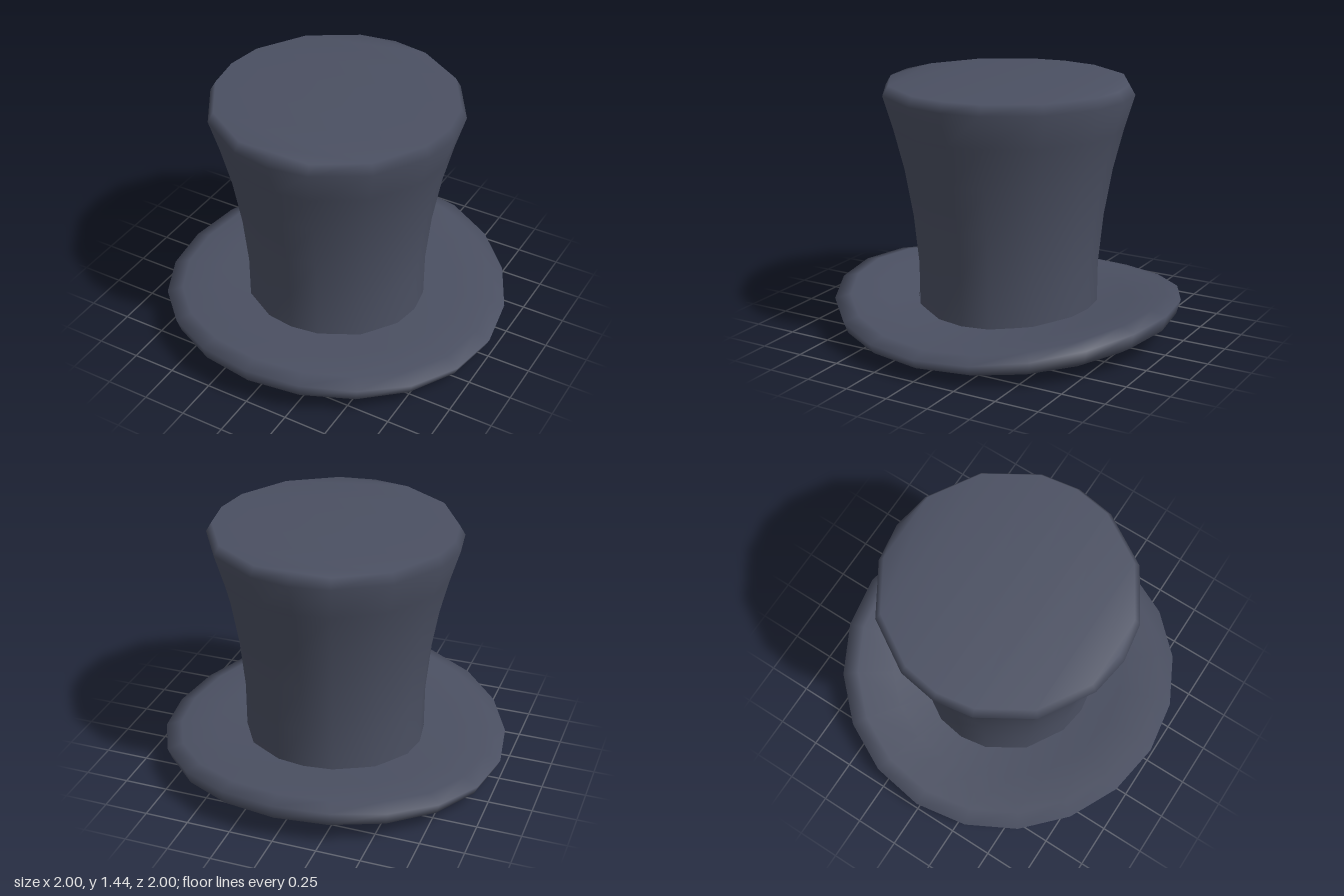
import * as THREE from 'three';

const felt = new THREE.MeshStandardMaterial({ color: 0x4b5062 });
felt.name = 'slate felt';

// Lofts rings [radius, height, saddle]; saddle lifts the z sides and drops the x sides.
// The order of rings runs so that the outside is on the right-hand side of the profile.
function loft(rings, degrees, capLast) {
  const n = degrees.length;
  const positions = [];
  const index = [];
  for (const [r, y, saddle = 0] of rings) {
    for (const d of degrees) {
      const a = THREE.MathUtils.degToRad(d);
      positions.push(r * Math.sin(a), y + saddle * Math.cos(2 * a), r * Math.cos(a));
    }
  }
  for (let k = 0; k < rings.length - 1; k++) {
    for (let i = 0; i < n; i++) {
      const j = (i + 1) % n;
      const a = k * n + i, b = k * n + j, c = a + n, d = b + n;
      index.push(a, b, d, a, d, c);
    }
  }
  // Flat end closed with strips across the ring
  if (capLast) {
    const o = (rings.length - 1) * n;
    for (let i = 0; i < n / 2; i++) {
      const a = o + i, b = o + i + 1, c = o + ((n - i) % n), d = o + n - i - 1;
      if (i > 0) index.push(a, b, c);
      if (b !== d) index.push(b, d, c);
    }
  }
  const geometry = new THREE.BufferGeometry();
  geometry.setAttribute('position', new THREE.Float32BufferAttribute(positions, 3));
  geometry.setIndex(index);
  geometry.computeVertexNormals();
  return geometry;
}

export function createModel() {
  const hat = new THREE.Group();
  hat.name = 'topHat';

  const add = (name, geometry) => {
    const mesh = new THREE.Mesh(geometry, felt);
    mesh.name = name;
    hat.add(mesh);
  };

  // Flared crown with a bevelled top edge and smooth-shaded lid
  const crownAngles = [0, 90, 180, 270].flatMap((q) => [0, 18, 45, 72].map((d) => q + d));
  add('crown', loft([
    [0.52, 0.14, 0.015], [0.522, 0.42], [0.55, 0.7], [0.597, 0.97],
    [0.655, 1.2], [0.712, 1.39], [0.68, 1.445],
  ], crownAngles, true));

  // Saddle-curved brim: underside, rolled edge, then top surface
  const brimAngles = Array.from({ length: 20 }, (_, i) => i * 18);
  add('brim', loft([
    [0.62, 0.026, 0.024], [0.9, 0.064, 0.026], [0.975, 0.105, 0.035],
    [1.0, 0.177, 0.054], [0.91, 0.2, 0.05], [0.7, 0.182, 0.028], [0.5, 0.168, 0.015],
  ], brimAngles, false));

  // Hollow for the head, facing inward and downward
  const hollow = loft([
    [0.62, 0.026, 0.024], [0.54, 0.07, 0.015], [0.49, 0.34],
  ], brimAngles, true);
  const flipped = Array.from(hollow.index.array);
  // The wall faces the axis and the ceiling faces down
  for (let i = 0; i < flipped.length; i += 3) {
    [flipped[i + 1], flipped[i + 2]] = [flipped[i + 2], flipped[i + 1]];
  }
  hollow.setIndex(flipped);
  hollow.computeVertexNormals();
  add('headOpening', hollow);

  return hat;
}
